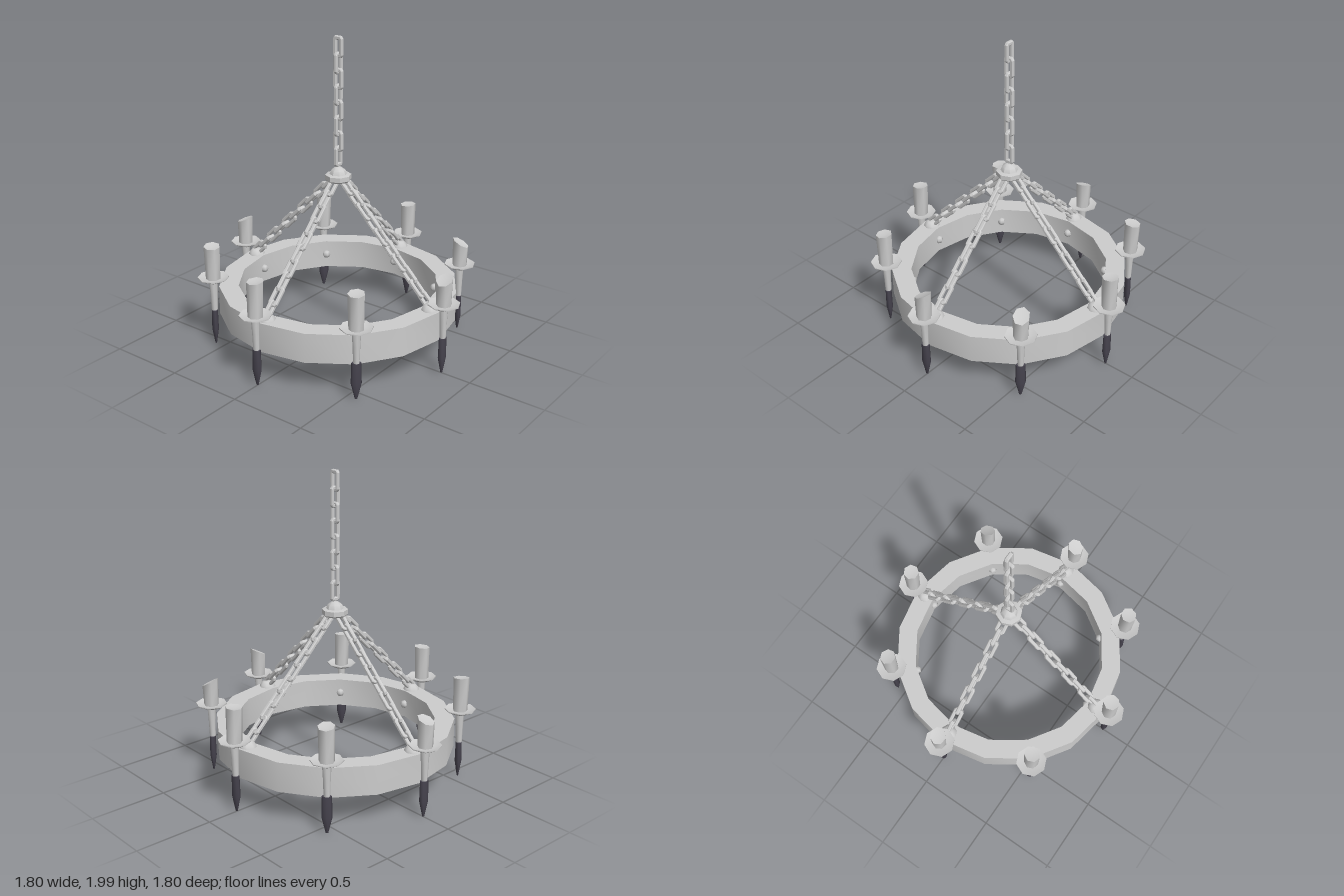
import * as THREE from 'three';
import { toCreasedNormals } from 'three/addons/utils/BufferGeometryUtils.js';

const iron = new THREE.MeshStandardMaterial({ color: 0xcccccc });
iron.name = 'pale grey';
const dark = new THREE.MeshStandardMaterial({ color: 0x47444f });
dark.name = 'dark slate';

// turned shape from [radius, height] pairs, listed bottom to top
function turned(name, pts, sides, material, crease = 0.9) {
  const lathe = new THREE.LatheGeometry(pts.map(([r, y]) => new THREE.Vector2(r, y)), sides);
  const mesh = new THREE.Mesh(toCreasedNormals(lathe, crease), material);
  mesh.name = name;
  return mesh;
}

// one chain link: a chunky oblong loop lying in its own xy plane
function makeLinkGeometry() {
  const shape = new THREE.Shape([
    [-0.022, -0.066], [0.022, -0.066], [0.034, -0.05], [0.034, 0.05],
    [0.022, 0.066], [-0.022, 0.066], [-0.034, 0.05], [-0.034, -0.05],
  ].map(([x, y]) => new THREE.Vector2(x, y)));
  shape.holes.push(new THREE.Path([
    [-0.012, -0.042], [-0.012, 0.042], [0.012, 0.042], [0.012, -0.042],
  ].map(([x, y]) => new THREE.Vector2(x, y))));
  const geo = new THREE.ExtrudeGeometry(shape, { depth: 0.014, bevelEnabled: true,
    bevelThickness: 0.005, bevelSize: 0.005, bevelOffset: -0.005, bevelSegments: 1 });
  return geo.translate(0, 0, -0.007);
}

// row of links along +y, each a quarter turn from the last
function makeChain(name, linkGeo, count, first, step, startTurned) {
  const chain = new THREE.Group();
  chain.name = name;
  for (let i = 0; i < count; i++) {
    const link = new THREE.Mesh(linkGeo, iron);
    link.name = 'chainLink';
    link.position.y = first + i * step;
    link.rotation.y = (i % 2 === 0) === startTurned ? Math.PI / 2 : 0;
    chain.add(link);
  }
  return chain;
}

// candle whose top is cut along a slope in x and z
function makeCandle(top, slopeX, slopeZ, turn) {
  const base = 0.465;
  let geo = new THREE.CylinderGeometry(0.052, 0.047, top - base, 7, 1);
  geo.rotateY(turn);
  geo.translate(0, (top + base) / 2, 0);
  const p = geo.attributes.position;
  for (let i = 0; i < p.count; i++) {
    if (p.getY(i) > base + 0.05) {
      const x = p.getX(i), z = p.getZ(i);
      const centre = Math.hypot(x, z) < 0.01;
      p.setY(i, p.getY(i) + x * slopeX + z * slopeZ - (centre ? 0.01 : 0));
      p.setX(i, x + 0.004 * Math.sin(turn * 3));
    }
  }
  geo = toCreasedNormals(geo, 1);
  const candle = new THREE.Mesh(geo, iron);
  candle.name = 'candle';
  return candle;
}

// bracket in local space: +z points away from the ring centre
function makeHolder() {
  const holder = new THREE.Group();
  holder.name = 'candleHolder';
  holder.add(turned('dripPan', [[0, 0.44], [0.045, 0.447], [0.1, 0.475], [0.1, 0.481],
    [0.06, 0.47], [0, 0.468]], 8, iron));
  holder.add(turned('stem', [[0.019, 0.24], [0.023, 0.36], [0.028, 0.45]], 8, iron));
  const tip = turned('spikeTip', [[0, 0.008], [0.008, 0.012], [0.033, 0.115], [0.03, 0.25],
    [0, 0.25]], 8, dark);
  tip.scale.z = 0.65;
  holder.add(tip);
  return holder;
}

export function createModel() {
  const model = new THREE.Group();
  model.name = 'candleChandelier';

  // broad hoop
  model.add(turned('hoop', [[0.765, 0.22], [0.765, 0.41], [0.64, 0.41], [0.64, 0.22],
    [0.765, 0.22]], 16, iron, 0.6));

  // eight candles: top height, slope in x, slope in z
  const cuts = [
    [0.635, 0.5, 0.05], [0.625, -0.25, -0.5], [0.692, 0.05, 0.05], [0.688, -0.15, 0.1],
    [0.64, 0.1, 0.4], [0.69, 0.1, -0.1], [0.695, 0.08, 0.05], [0.695, 0.1, -0.05],
  ];
  cuts.forEach(([top, sx, sz], i) => {
    const a = i * Math.PI / 4;
    const x = Math.sin(a), z = Math.cos(a);
    const holder = makeHolder();
    holder.position.set(x * 0.798, 0, z * 0.798);
    holder.rotation.y = a;
    model.add(holder);

    const candle = makeCandle(top, sx, sz, i * 0.8);
    candle.position.set(x * 0.798, 0, z * 0.798);
    model.add(candle);

    // bolt head inside the hoop
    const bolt = new THREE.Mesh(new THREE.SphereGeometry(0.028, 6, 4), iron);
    bolt.name = 'boltHead';
    bolt.position.set(x * 0.635, 0.315, z * 0.635);
    model.add(bolt);
  });

  // hub joining the chains
  model.add(turned('hub', [[0, 1.085], [0.072, 1.09], [0.082, 1.1], [0.082, 1.13], [0.055, 1.135],
    [0.045, 1.16], [0.02, 1.178], [0, 1.18]], 8, iron, 0.7));

  // hanging chain
  const linkGeo = makeLinkGeometry();
  model.add(makeChain('hangingChain', linkGeo, 8, 1.25, 0.0977, false));

  // four sloping chains with their anchors on the hoop
  for (let i = 0; i < 4; i++) {
    const arm = new THREE.Group();
    arm.name = 'chainArm';
    arm.rotation.y = i * Math.PI / 2;
    const chain = makeChain('slopingChain', linkGeo, 10, 0.095, 0.0955, false);
    chain.position.y = 1.133;
    chain.rotation.x = Math.PI * 0.75;
    arm.add(chain);
    const anchor = turned('chainAnchor', [[0.056, 0.405], [0.05, 0.425], [0.03, 0.445], [0, 0.45]],
      8, iron);
    anchor.position.z = 0.7;
    arm.add(anchor);
    model.add(arm);
  }
  return model;
}
